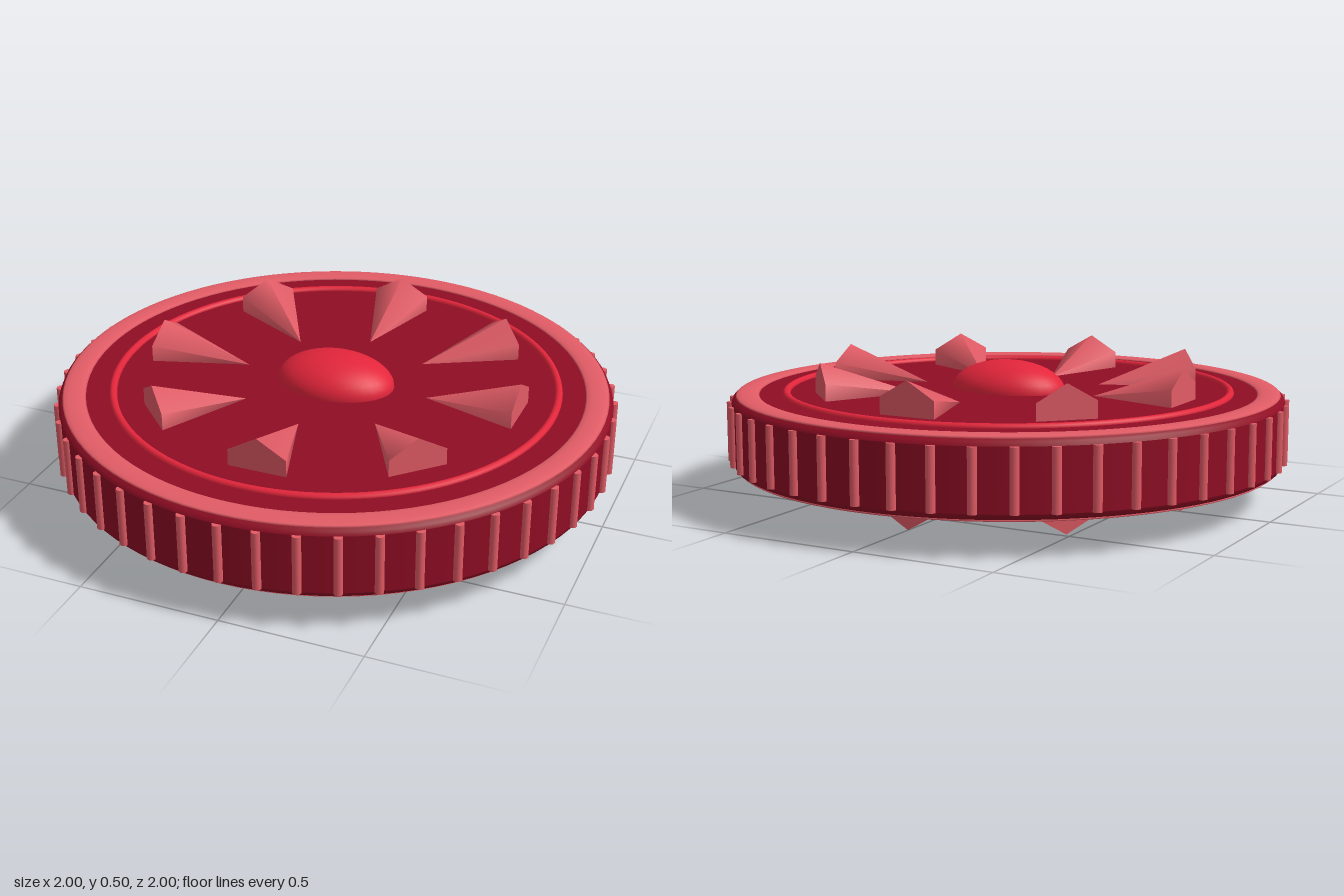
import * as THREE from 'three';

const material = (name, color) => {
  const m = new THREE.MeshStandardMaterial({ color });
  m.name = name;
  return m;
};

export function createModel() {
  const darkRed = material('darkRed', 0x900d24);
  const brightRed = material('brightRed', 0xe3253b);
  const pink = material('pink', 0xe25c66);
  const group = new THREE.Group();
  const mid = 0.255, half = 0.128; // disc centre height and half thickness

  const add = (parent, name, geometry, mat, x = 0, y = 0, z = 0) => {
    const mesh = new THREE.Mesh(geometry, mat);
    mesh.name = name;
    mesh.position.set(x, y, z);
    parent.add(mesh);
    return mesh;
  };

  // Main disc: flat faces and wall, joined by small bevels
  const lathe = (points) => new THREE.LatheGeometry(points.map(([r, y]) => new THREE.Vector2(r, y)), 96);
  add(group, 'discWall', lathe([[0.982, -0.105], [0.982, 0.105]]), darkRed, 0, mid);

  // Gripping ribs around the wall
  const ribs = new THREE.Group();
  ribs.name = 'edgeRibs';
  group.add(ribs);
  const ribGeometry = new THREE.CylinderGeometry(0.016, 0.016, 0.21, 8);
  for (let i = 0; i < 48; i++) {
    const a = (i / 48) * Math.PI * 2;
    add(ribs, 'rib', ribGeometry, pink, Math.sin(a) * 0.983, mid, Math.cos(a) * 0.983);
  }

  // Everything on a face, built once for the top and turned over for the bottom
  const coneGeometry = new THREE.ConeGeometry(0.12, 0.34, 6);
  coneGeometry.rotateX(-Math.PI / 2); // point towards the centre, one ridge upwards
  for (const side of ['top', 'bottom']) {
    const face = new THREE.Group();
    face.name = side + 'Face';
    face.position.y = mid;
    if (side === 'bottom') face.rotation.x = Math.PI;
    group.add(face);

    add(face, 'bevel', lathe([[0.982, 0.105], [0.976, 0.119], [0.96, half]]), darkRed);
    add(face, 'discFace', new THREE.CircleGeometry(0.96, 96).rotateX(-Math.PI / 2), darkRed, 0, half);

    // Low, wide raised band near the edge
    const band = add(face, 'outerBand', new THREE.TorusGeometry(0.926, 0.041, 12, 96).rotateX(Math.PI / 2), pink, 0, half);
    band.scale.y = 0.2;

    // Thin inner ring
    add(face, 'innerRing', new THREE.TorusGeometry(0.79, 0.014, 10, 96).rotateX(Math.PI / 2), brightRed, 0, half);

    // Oval centre gem
    const gem = add(face, 'centreGem', new THREE.SphereGeometry(1, 32, 20), brightRed, 0, half);
    gem.scale.set(0.215, 0.105, 0.155);

    // Radial spikes, half sunk into the face
    for (let i = 0; i < 8; i++) {
      const a = (i / 8) * Math.PI * 2;
      const spike = add(face, 'spike', coneGeometry, pink, Math.sin(a) * 0.51, half, Math.cos(a) * 0.51);
      spike.rotation.y = a;
    }
  }
  return group;
}
